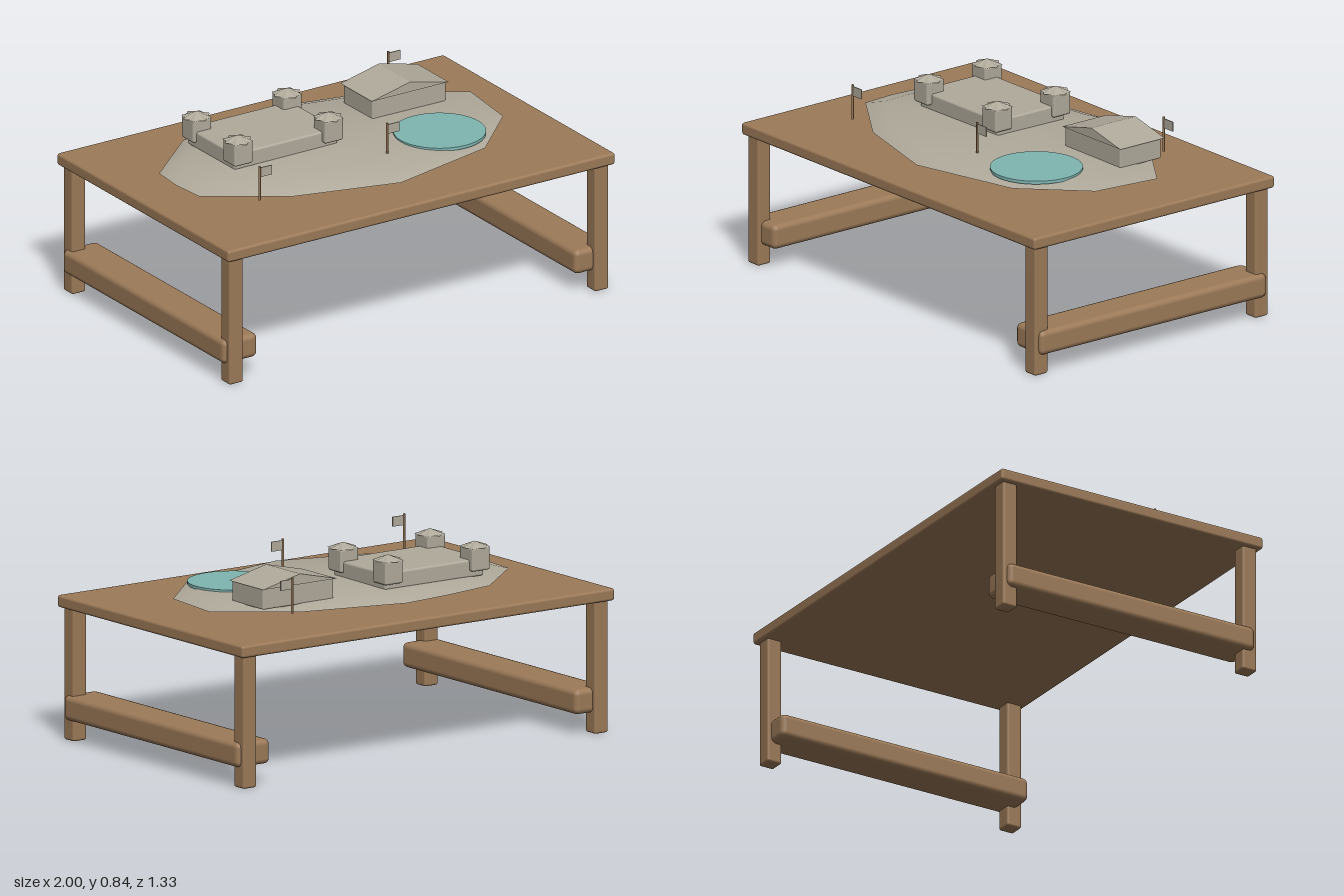
import * as THREE from 'three';
import { toCreasedNormals } from 'three/addons/utils/BufferGeometryUtils.js';
import { RoundedBoxGeometry } from 'three/addons/geometries/RoundedBoxGeometry.js';

const material = (name, color, side = THREE.FrontSide) => {
  const m = new THREE.MeshStandardMaterial({ color, side });
  m.name = name;
  return m;
};

// Box with bevelled edges, given by its min and max corners
function bevelBox(min, max, bevel) {
  const size = max.map((v, i) => v - min[i]);
  const g = new RoundedBoxGeometry(...size, 2, bevel);
  return g.translate(...min.map((v, i) => (v + max[i]) / 2));
}

// Low lens-shaped island: rim, raised inner ring, and a centre above and below
function islandGeometry() {
  const rim = [
    [0, -0.51], [-0.245, -0.475], [-0.51, -0.42], [-0.8, -0.17], [-0.813, -0.02], [-0.8, 0.14],
    [-0.465, 0.37], [0, 0.505], [0.51, 0.39], [0.77, 0.14], [0.807, -0.17], [0.475, -0.4],
  ];
  const n = rim.length;
  const pos = [];
  rim.forEach(([x, z]) => pos.push(x, 0.67 + 0.008 * x, z));
  rim.forEach(([x, z]) => pos.push(x * 0.86, 0.695, z * 0.86));
  pos.push(0, 0.7, 0, 0, 0.634, 0);
  const index = [];
  for (let i = 0; i < n; i++) {
    const j = (i + 1) % n;
    index.push(i, j, n + i, j, n + j, n + i);
    index.push(n + i, n + j, 2 * n);
    index.push(j, i, 2 * n + 1);
  }
  const g = new THREE.BufferGeometry();
  g.setAttribute('position', new THREE.Float32BufferAttribute(pos, 3));
  g.setIndex(index);
  return toCreasedNormals(g, 0.5);
}

// Shallow cone with an eight-pointed star outline
function starRoof(radius, height) {
  const g = new THREE.ConeGeometry(radius, height, 16).toNonIndexed();
  const p = g.attributes.position;
  for (let i = 0; i < p.count; i++) {
    const step = Math.round(Math.atan2(p.getX(i), p.getZ(i)) / (Math.PI / 8));
    const s = Math.abs(step) % 2 ? 0.78 : 1;
    p.setX(i, p.getX(i) * s);
    p.setZ(i, p.getZ(i) * s);
  }
  g.computeVertexNormals();
  return g;
}

export function createModel() {
  const model = new THREE.Group();
  model.name = 'islandTable';
  const wood = material('wood', 0x9c7a58);
  const stone = material('stone', 0xb0aa9b);
  const water = material('water', 0x7fb5b1);
  const add = (name, geometry, mat, parent = model) => {
    const mesh = new THREE.Mesh(geometry, mat);
    mesh.name = name;
    parent.add(mesh);
    return mesh;
  };

  // Table
  add('tableTop', bevelBox([-1, 0.58, -0.666], [1, 0.634, 0.666], 0.012), wood);
  for (const s of [-1, 1]) {
    for (const t of [-1, 1]) {
      const leg = bevelBox([-0.036, 0, -0.036], [0.036, 0.585, 0.036], 0.01);
      add('leg', leg.translate(s * 0.944, 0, t * 0.61), wood);
    }
    const rail = bevelBox([-0.09, 0.09, -0.628], [0.09, 0.2, 0.628], 0.025);
    add('sideRail', rail.translate(s * 0.909, 0, 0), wood);
  }

  // Island and pond
  add('island', islandGeometry(), stone);
  const pond = new THREE.CylinderGeometry(0.2, 0.2, 0.014, 48);
  add('pond', pond.translate(0.415, 0.698, 0.18), water);

  // Castle with four towers
  const castle = new THREE.Group();
  castle.name = 'castle';
  model.add(castle);
  add('castleBlock', bevelBox([-0.55, 0.69, -0.328], [-0.018, 0.768, 0.04], 0.01), stone, castle);
  for (const x of [-0.518, -0.051]) {
    for (const z of [-0.304, 0.017]) {
      const tower = bevelBox([-0.048, 0.718, -0.048], [0.048, 0.822, 0.048], 0.01);
      add('tower', tower.translate(x, 0, z), stone, castle);
      add('towerRoof', starRoof(0.068, 0.024).translate(x, 0.831, z), stone, castle);
    }
  }

  // Hall with a gable roof
  const hall = new THREE.Group();
  hall.name = 'hall';
  model.add(hall);
  add('hallBody', bevelBox([0.258, 0.69, -0.33], [0.638, 0.784, -0.104], 0.008), stone, hall);
  const gable = new THREE.Shape([[0.25, 0.782], [0.647, 0.782], [0.448, 0.828]]
    .map(([x, y]) => new THREE.Vector2(x, y)));
  const roof = new THREE.ExtrudeGeometry(gable, { depth: 0.245, bevelEnabled: false });
  add('hallRoof', roof.translate(0, 0, -0.342), stone, hall);

  // Flags on poles
  for (const [x, z] of [[-0.628, 0.35], [0.098, 0.25], [0.548, -0.417]]) {
    const flag = new THREE.Group();
    flag.name = 'flag';
    flag.position.set(x, 0, z);
    model.add(flag);
    add('pole', new THREE.CylinderGeometry(0.005, 0.005, 0.157, 8).translate(0, 0.758, 0), wood, flag);
    add('banner', new THREE.BoxGeometry(0.06, 0.043, 0.005).translate(0.032, 0.808, 0), stone, flag);
  }
  return model;
}
